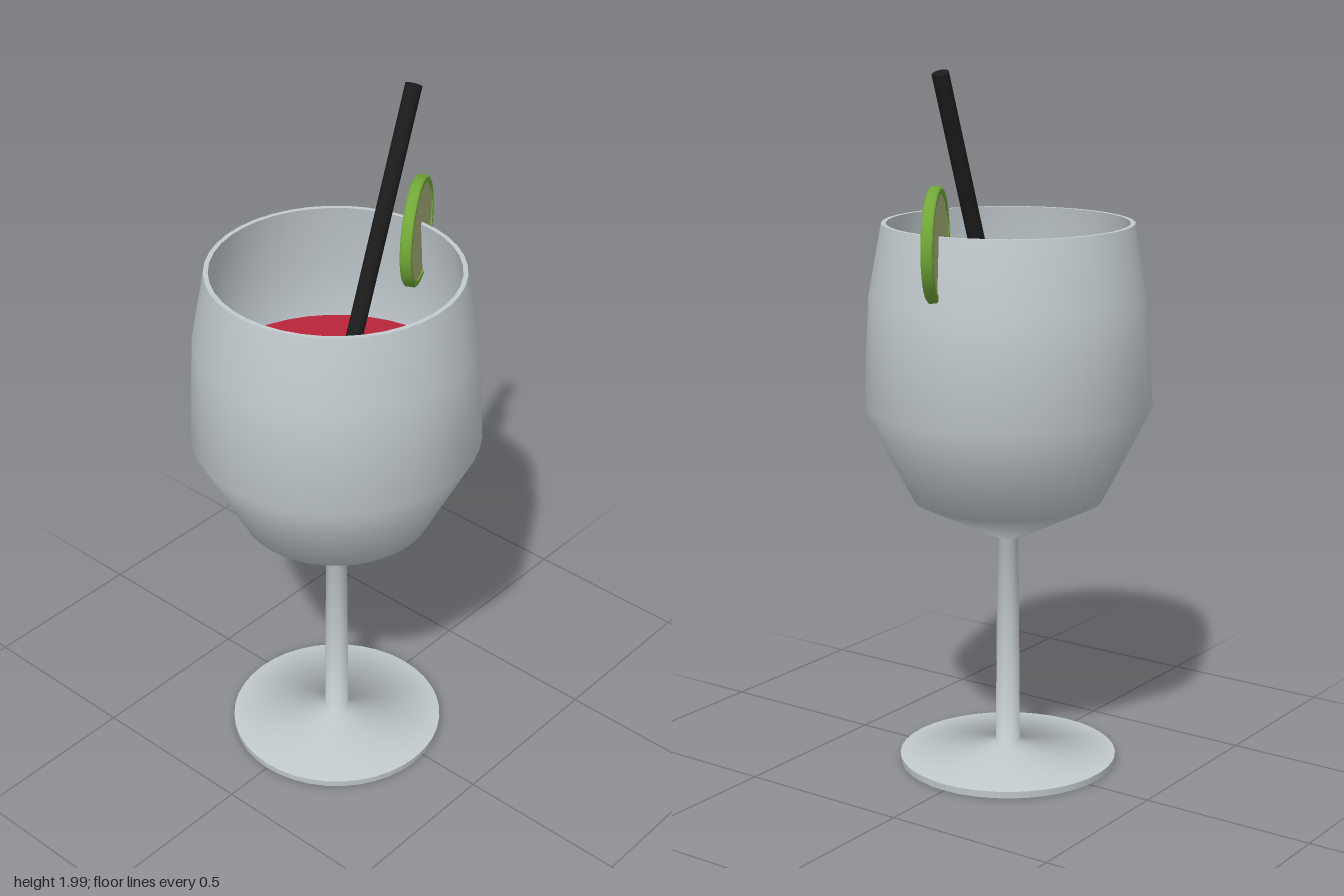
import * as THREE from 'three';
import { RoundedBoxGeometry } from 'three/addons/geometries/RoundedBoxGeometry.js';

const AXIS_X = -0.04; // the glass stands slightly off centre

const paint = (name, color) => {
  const m = new THREE.MeshStandardMaterial({ color });
  m.name = name;
  return m;
};

const turned = (points, segments) =>
  new THREE.LatheGeometry(points.map(([r, y]) => new THREE.Vector2(r, y)), segments);

function add(parent, name, geometry, material) {
  const mesh = new THREE.Mesh(geometry, material);
  mesh.name = name;
  parent.add(mesh);
  return mesh;
}

export function createModel() {
  const root = new THREE.Group();
  root.name = 'drinkGlass';
  const glassMat = paint('glass', 0xc3cbcf);
  const iceMat = paint('ice', 0xc3c9cc);
  const drinkMat = paint('red drink', 0xb8243a);
  const strawMat = paint('black straw', 0x1c1c1c);
  const rindMat = paint('lime rind', 0x72a838);
  const fleshMat = paint('lime flesh', 0xa7b079);

  // Goblet: separate strips keep the foot and rim edges sharp
  const goblet = new THREE.Group();
  goblet.name = 'goblet';
  goblet.position.x = AXIS_X;
  root.add(goblet);
  const strips = {
    footUnderside: [[0, 0.005], [0.31, 0.005]],
    footEdge: [[0.31, 0.005], [0.312, 0.025]],
    stemAndBowl: [[0.312, 0.025], [0.035, 0.062], [0.03, 0.67], [0.27, 0.79],
      [0.405, 1.06], [0.387, 1.37], [0.35, 1.57]],
    rim: [[0.35, 1.57], [0.337, 1.57]],
    bowlInside: [[0.337, 1.57], [0.375, 1.37], [0.393, 1.06], [0.26, 0.8], [0, 0.69]],
  };
  for (const [name, points] of Object.entries(strips)) {
    add(goblet, name, turned(points, 40), glassMat);
  }

  // Drink filling the bowl
  add(goblet, 'drinkBody', turned([[0, 0.7], [0.25, 0.81], [0.385, 1.06], [0.379, 1.2]], 40), drinkMat);
  add(goblet, 'drinkSurface', turned([[0.379, 1.2], [0, 1.2]], 40), drinkMat);

  // Tilted ice cube, half sunk
  const ice = add(root, 'iceCube', new RoundedBoxGeometry(0.2, 0.2, 0.2, 4, 0.04), iceMat);
  ice.position.set(-0.2, 1.17, 0.11);
  ice.rotation.set(0.3, -0.5, 0.12);

  // Leaning straw
  const top = new THREE.Vector3(0.268, 1.992, 0);
  const foot = new THREE.Vector3(-0.082, 0.99, 0);
  const along = top.clone().sub(foot);
  const straw = add(root, 'straw', new THREE.CylinderGeometry(0.023, 0.023, along.length(), 20), strawMat);
  straw.position.copy(top).add(foot).multiplyScalar(0.5);
  straw.quaternion.setFromUnitVectors(new THREE.Vector3(0, 1, 0), along.normalize());

  // Lime slice on the rim
  const lime = new THREE.Group();
  lime.name = 'limeSlice';
  lime.position.set(0.296, 1.545, -0.002);
  lime.rotation.y = 0.49;
  root.add(lime);
  const rindStrips = [
    [[0.137, -0.016], [0.149, -0.016]],
    [[0.149, -0.016], [0.155, -0.011], [0.155, 0.011], [0.149, 0.016]],
    [[0.149, 0.016], [0.137, 0.016]],
    [[0.137, 0.016], [0.137, -0.016]],
  ];
  for (const points of rindStrips) {
    add(lime, 'limeRind', turned(points, 40).rotateX(Math.PI / 2), rindMat);
  }
  add(lime, 'limeFlesh', new THREE.CylinderGeometry(0.138, 0.138, 0.024, 40).rotateX(Math.PI / 2), fleshMat);

  return root;
}
